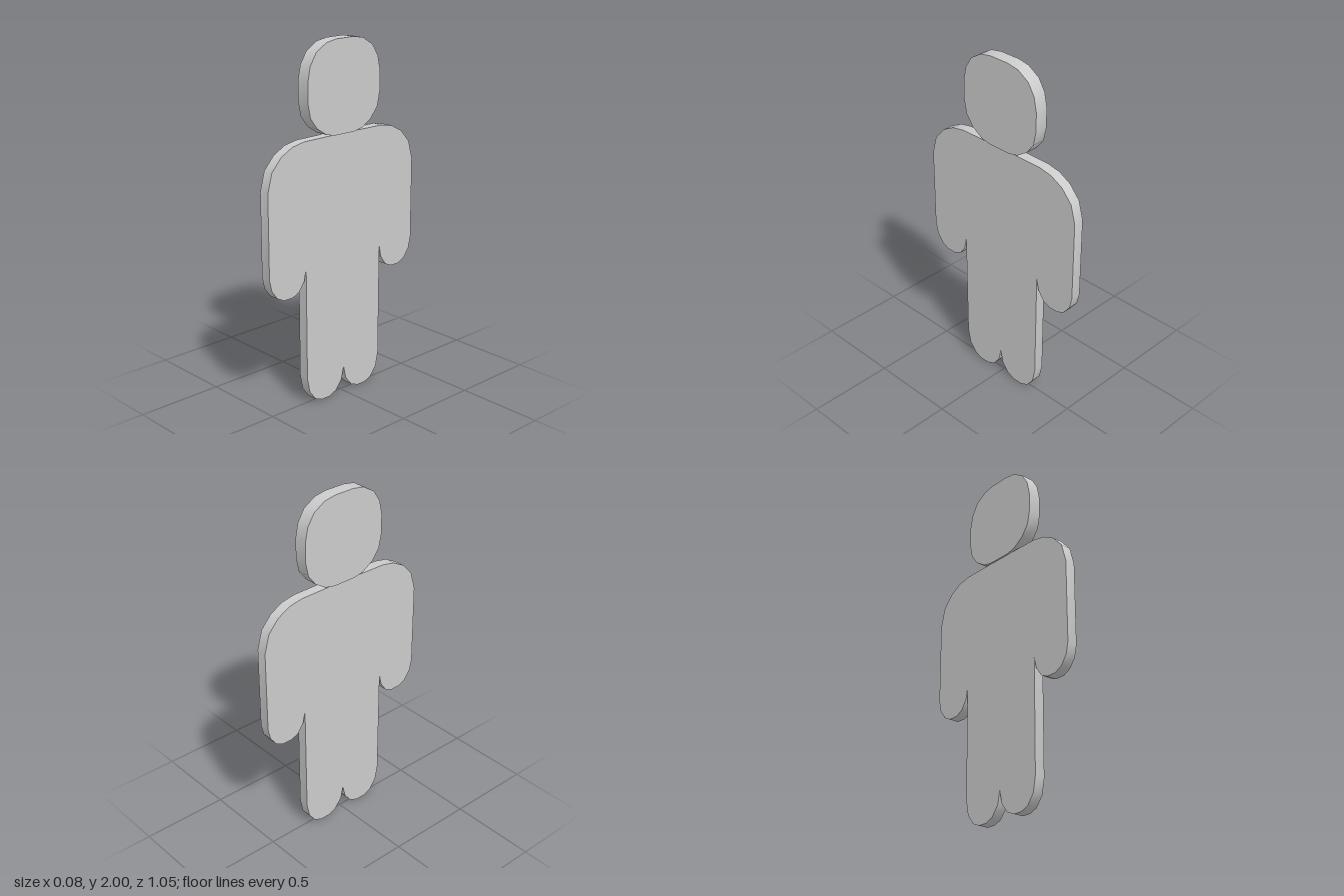
import * as THREE from 'three';
import { toCreasedNormals } from 'three/addons/utils/BufferGeometryUtils.js';

const material = new THREE.MeshStandardMaterial({ color: 0xcccccc });

// Flat plate in the zy plane, mirrored from a half outline of [z, y] points
function plate(name, half, thickness) {
  const mirrored = half.filter(([z]) => z > 0).reverse().map(([z, y]) => [-z, y]);
  const shape = new THREE.Shape([...half, ...mirrored].map(([z, y]) => new THREE.Vector2(z, y)));
  const geometry = new THREE.ExtrudeGeometry(shape, { depth: thickness, bevelEnabled: false });
  geometry.translate(0, 0, -thickness / 2).rotateY(-Math.PI / 2);
  const mesh = new THREE.Mesh(toCreasedNormals(geometry, 0.7), material);
  mesh.name = name;
  return mesh;
}

export function createModel() {
  const group = new THREE.Group();
  group.name = 'flatFigure';

  // Rounded-square head, slightly thicker than the body
  group.add(plate('head', [
    [0, 2], [0.06, 2], [0.13, 1.988], [0.2, 1.945], [0.241, 1.88], [0.258, 1.8],
    [0.258, 1.69], [0.241, 1.61], [0.195, 1.55], [0.13, 1.508], [0.07, 1.495], [0, 1.495],
  ], 0.076));

  // Torso with shoulders, hanging arms and legs
  group.add(plate('body', [
    [0, 1.497],
    // shoulder
    [0.28, 1.495], [0.36, 1.48], [0.435, 1.44], [0.498, 1.37], [0.527, 1.265],
    // hand
    [0.527, 0.8], [0.512, 0.735], [0.475, 0.685], [0.43, 0.662], [0.37, 0.662],
    [0.325, 0.682], [0.288, 0.735], [0.274, 0.8],
    // leg and foot
    [0.272, 0.16], [0.255, 0.075], [0.213, 0.02], [0.165, 0], [0.11, 0],
    [0.06, 0.02], [0.016, 0.075], [0, 0.15],
  ], 0.06));

  return group;
}
